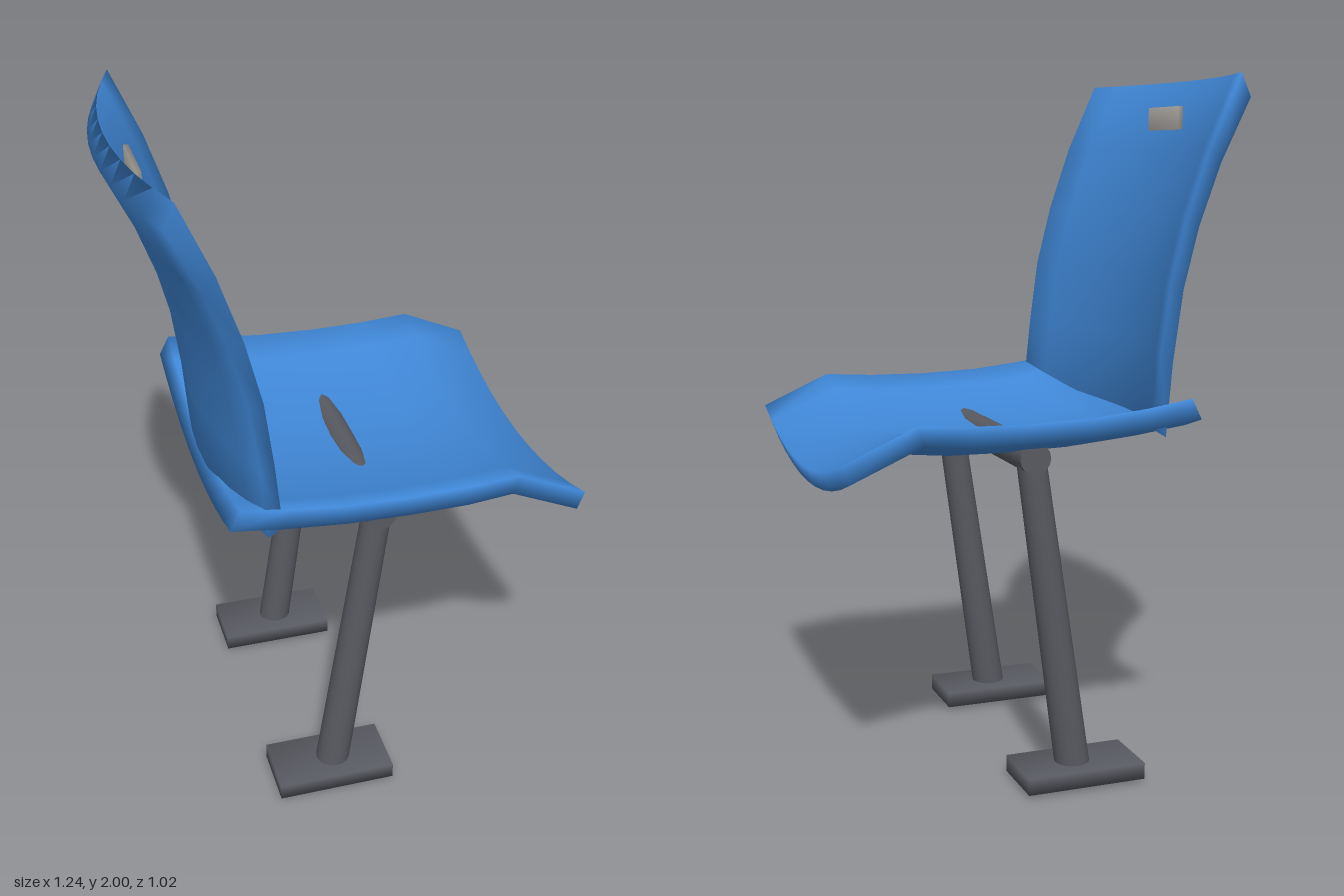
import * as THREE from 'three';
import { mergeVertices } from 'three/addons/utils/BufferGeometryUtils.js';

const blue = new THREE.MeshStandardMaterial({ name: 'blue plastic', color: 0x4088d8 });
const darkGrey = new THREE.MeshStandardMaterial({ name: 'dark grey steel', color: 0x585a61 });
const silver = new THREE.MeshStandardMaterial({ name: 'silver plate', color: 0xc4c0ba });

// Weld corners so shading rolls softly over the edges
function soften(geometry) {
  geometry.deleteAttribute('normal');
  geometry.deleteAttribute('uv');
  const welded = mergeVertices(geometry, 1e-4);
  welded.computeVertexNormals();
  return welded;
}

// Bent slab: face and rear are side profiles at the edges, sag dishes the middle
function dishedShell(face, rear, halfWidth, sagX, sagY) {
  const n = face.length - 1;
  const geometry = new THREE.BoxGeometry(1, 1, 1, n, 1, 10);
  const p = geometry.attributes.position;
  for (let i = 0; i < p.count; i++) {
    const [x, y] = (p.getY(i) > 0 ? face : rear)[Math.round((p.getX(i) + 0.5) * n)];
    const w = p.getZ(i) * 2;
    const dip = 1 - w * w;
    p.setXYZ(i, x - sagX * dip, y - sagY * dip, w * halfWidth);
  }
  return soften(geometry);
}

function rod(from, to, r0, r1) {
  const axis = to.clone().sub(from);
  const mesh = new THREE.Mesh(new THREE.CylinderGeometry(r1, r0, axis.length(), 16), darkGrey);
  mesh.position.copy(from).add(to).multiplyScalar(0.5);
  mesh.quaternion.setFromUnitVectors(new THREE.Vector3(0, 1, 0), axis.normalize());
  return mesh;
}

export function createModel() {
  const chair = new THREE.Group();
  chair.name = 'chair';
  const add = (mesh, name) => {
    mesh.name = name;
    chair.add(mesh);
    return mesh;
  };

  // Seat, from rear to front lip
  add(new THREE.Mesh(dishedShell(
    [[-0.37, 1.12], [-0.24, 1.1], [-0.08, 1.083], [0.1, 1.077], [0.27, 1.08], [0.42, 1.09], [0.62, 1.0]],
    [[-0.4, 1.06], [-0.25, 1.04], [-0.08, 1.025], [0.1, 1.02], [0.27, 1.022], [0.4, 1.035], [0.6, 0.947]],
    0.508, 0, 0.09), blue), 'seat');

  // Backrest, from top to bottom
  add(new THREE.Mesh(dishedShell(
    [[-0.5, 2.0], [-0.41, 1.8], [-0.345, 1.61], [-0.3, 1.43], [-0.275, 1.24], [-0.255, 1.04]],
    [[-0.53, 1.935], [-0.445, 1.76], [-0.383, 1.59], [-0.34, 1.42], [-0.312, 1.22], [-0.295, 1.015]],
    0.5, 0.09, 0), blue), 'backrest');

  // Small plate on the backrest
  add(new THREE.Mesh(soften(new THREE.BoxGeometry(0.014, 0.068, 0.205)), silver), 'backPlate')
    .position.set(-0.518, 1.889, 0);

  // Crossbar under the seat, showing through the middle
  add(rod(new THREE.Vector3(0.053, 0.96, -0.41), new THREE.Vector3(0.053, 0.96, 0.41), 0.045, 0.045), 'crossbar');

  // Slanted legs and feet on both sides
  for (const [side, z] of [['left', -0.368], ['right', 0.368]]) {
    add(rod(new THREE.Vector3(-0.084, 0.007, z), new THREE.Vector3(0.053, 0.965, z), 0.051, 0.042), side + 'Leg');
    add(new THREE.Mesh(soften(new THREE.BoxGeometry(0.355, 0.048, 0.19)), darkGrey), side + 'Foot')
      .position.set(-0.088, 0.034, z);
  }
  return chair;
}
